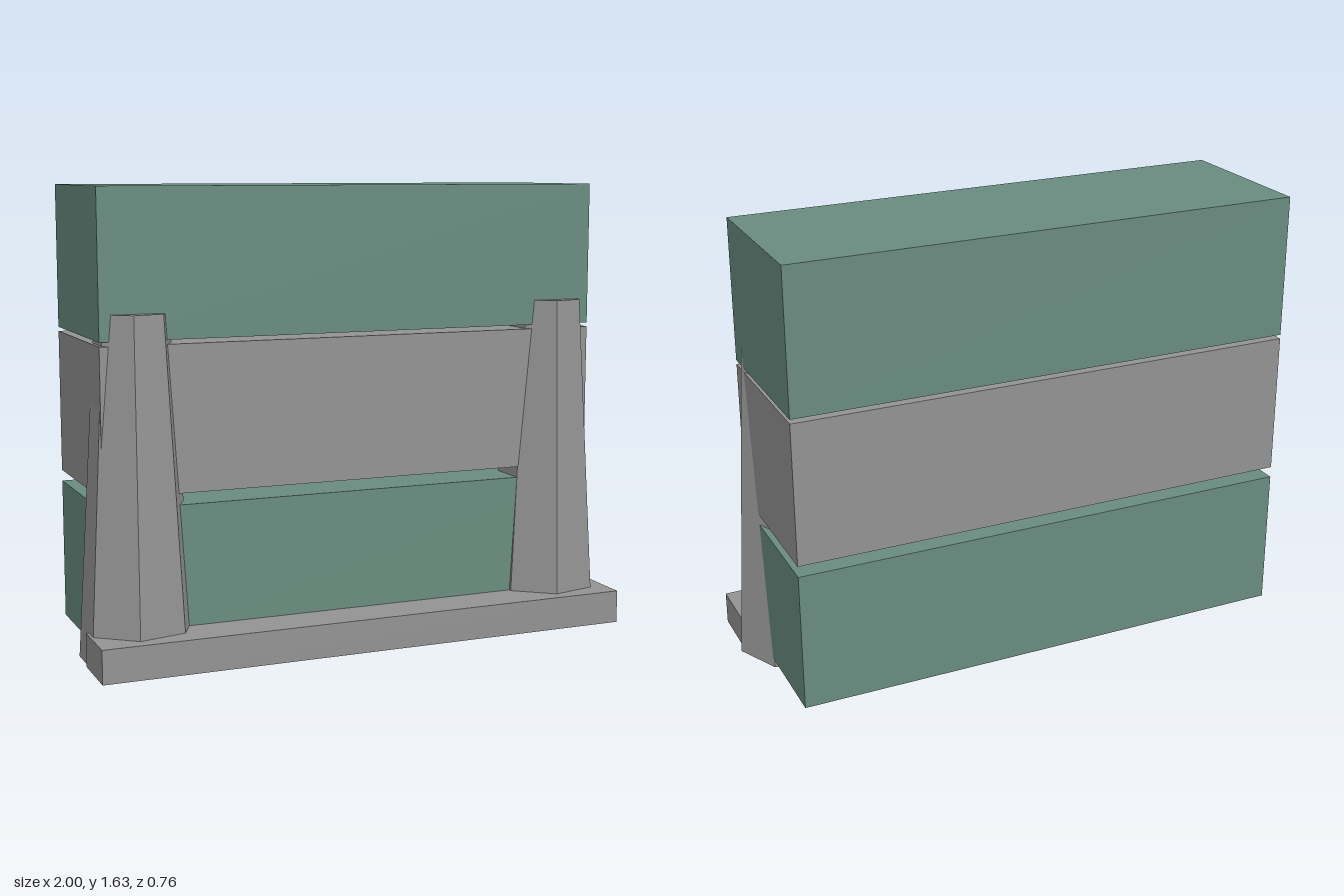
import * as THREE from 'three';

export function createModel() {
  const model = new THREE.Group();
  model.name = 'stackedBarrier';

  const green = new THREE.MeshStandardMaterial({ color: 0x6a8c80 });
  green.name = 'muted green';
  const grey = new THREE.MeshStandardMaterial({ color: 0x939393 });
  grey.name = 'concrete grey';
  // Same grey, faceted for the posts
  grey.flatShading = true;

  // Box given by its min and max corners
  function block(name, material, [x0, y0, z0], [x1, y1, z1]) {
    const mesh = new THREE.Mesh(new THREE.BoxGeometry(x1 - x0, y1 - y0, z1 - z0), material);
    mesh.position.set((x0 + x1) / 2, (y0 + y1) / 2, (z0 + z1) / 2);
    mesh.name = name;
    model.add(mesh);
  }

  // Three stacked beams with narrow gaps between them
  const beams = [
    ['lowerBeam', green, 0.04, 0.55],
    ['middleBeam', grey, 0.59, 1.105],
    ['upperBeam', green, 1.12, 1.635],
  ];
  for (const [name, material, y0, y1] of beams) {
    block(name, material, [-0.945, y0, -0.38], [0.923, y1, 0.21]);
  }

  // Footing along the front
  block('footing', grey, [-1, 0, 0.16], [0.98, 0.12, 0.378]);

  // Seven-sided tapered posts, both with one corner towards +x
  const bottom = 0.006, top = 1.21;
  for (const [name, x] of [['leftPost', 0.792], ['rightPost', -0.81]]) {
    const geometry = new THREE.CylinderGeometry(0.13, 0.207, top - bottom, 7, 1, false, Math.PI / 2);
    const post = new THREE.Mesh(geometry, grey);
    post.position.set(x, (top + bottom) / 2, 0.135);
    post.name = name;
    model.add(post);
  }

  return model;
}
